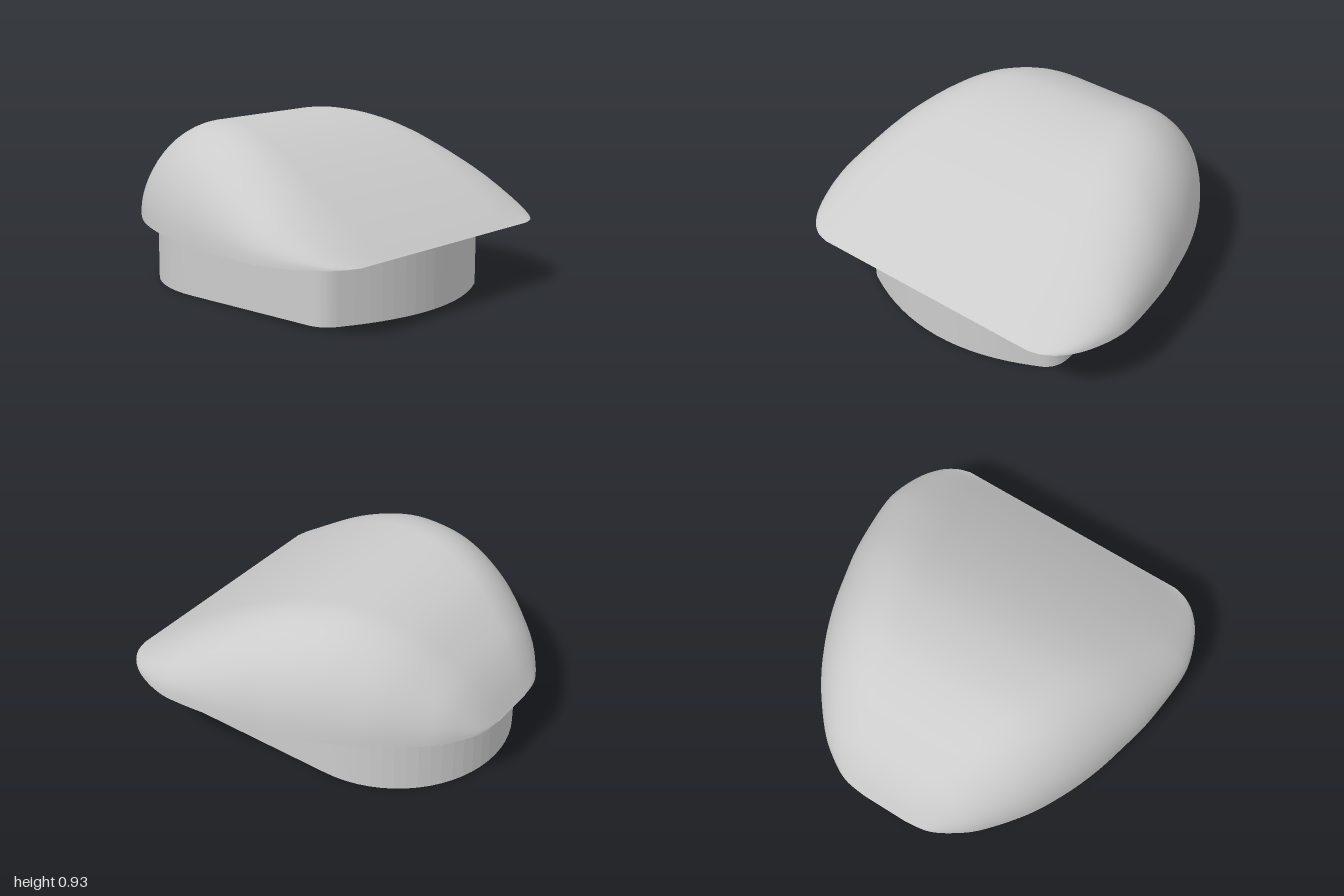
import * as THREE from 'three';

const RIM = 0.365; // height of the dome's underside
const spline = (pts, n) => new THREE.SplineCurve(pts.map(p => new THREE.Vector2(...p))).getPoints(n);

// Half outline of the dome in plan: x, half width
const outline = spline([
  [-0.99, 0.13], [-0.97, 0.27], [-0.9, 0.4], [-0.8, 0.52], [-0.6, 0.68], [-0.4, 0.79],
  [-0.2, 0.87], [0, 0.925], [0.2, 0.97], [0.5, 1], [0.65, 0.985], [0.8, 0.93],
  [0.9, 0.86], [0.96, 0.78], [0.985, 0.7],
], 84);

// Ridge profile along x: x, height
const ridge = spline([
  [-0.99, RIM], [-0.91, 0.52], [-0.8, 0.66], [-0.6, 0.82], [-0.4, 0.905], [-0.22, 0.93],
  [0, 0.907], [0.2, 0.845], [0.4, 0.75], [0.6, 0.633], [0.8, 0.5], [0.985, RIM],
], 240);

function ridgeHeight(x) {
  const i = ridge.findIndex(p => p.x >= x);
  if (i <= 0) return RIM;
  const a = ridge[i - 1], b = ridge[i];
  return THREE.MathUtils.lerp(a.y, b.y, (x - a.x) / (b.x - a.x));
}

// Cross-section: flat crown with a quarter-ellipse shoulder on each side
function section(x, w) {
  const h = ridgeHeight(x) - RIM;
  const flat = w * (0.47 + 0.12 * x);
  const half = [];
  for (let k = 0; k <= 14; k++) {
    const a = (k / 14) * Math.PI / 2;
    half.push([flat + (w - flat) * Math.cos(a), RIM + h * Math.pow(Math.sin(a), 0.93)]);
  }
  half.push([flat / 2, RIM + h]);
  return [...half, [0, RIM + h], ...half.slice().reverse().map(([z, y]) => [-z, y])];
}

function domeGeometry() {
  const pos = [], index = [];
  let cols = 0;
  outline.forEach(({ x, y: w }) => {
    const s = section(x, w);
    cols = s.length;
    s.forEach(([z, y]) => pos.push(x, y, z));
  });
  for (let i = 0; i < outline.length - 1; i++) {
    for (let j = 0; j < cols - 1; j++) {
      const a = i * cols + j, b = a + cols;
      index.push(a, b, a + 1, b, b + 1, a + 1);
    }
  }
  const g = new THREE.BufferGeometry();
  g.setAttribute('position', new THREE.Float32BufferAttribute(pos, 3));
  g.setIndex(index);
  g.computeVertexNormals();
  return g;
}

// Flat underside closing the dome
function undersideGeometry() {
  const mirrored = outline.slice().reverse().map(p => new THREE.Vector2(p.x, -p.y));
  return new THREE.ShapeGeometry(new THREE.Shape([...outline, ...mirrored]))
    .rotateX(Math.PI / 2).translate(0, RIM, 0);
}

// Plinth: round at one end, bowed with tight corners at the other, two holes
function baseGeometry() {
  const s = new THREE.Shape();
  s.moveTo(-0.25, 0.66);
  s.lineTo(0.6, 0.66);
  s.quadraticCurveTo(0.7, 0.66, 0.74, 0.57);
  s.quadraticCurveTo(1.04, 0, 0.74, -0.57);
  s.quadraticCurveTo(0.7, -0.66, 0.6, -0.66);
  s.lineTo(-0.25, -0.66);
  s.absarc(-0.25, 0, 0.66, -Math.PI / 2, Math.PI / 2, true);
  for (const side of [1, -1]) {
    s.holes.push(new THREE.Path().absarc(0.56, side * 0.5, 0.083, 0, Math.PI * 2));
  }
  return new THREE.ExtrudeGeometry(s, { depth: RIM, bevelEnabled: false, curveSegments: 16 })
    .rotateX(Math.PI / 2).translate(0, RIM, 0);
}

export function createModel() {
  const group = new THREE.Group();
  const material = new THREE.MeshStandardMaterial({ color: 0xcccccc });
  const add = (name, geometry) => {
    const mesh = new THREE.Mesh(geometry, material);
    mesh.name = name;
    group.add(mesh);
  };
  add('dome', domeGeometry());
  add('domeUnderside', undersideGeometry());
  add('base', baseGeometry());
  return group;
}
